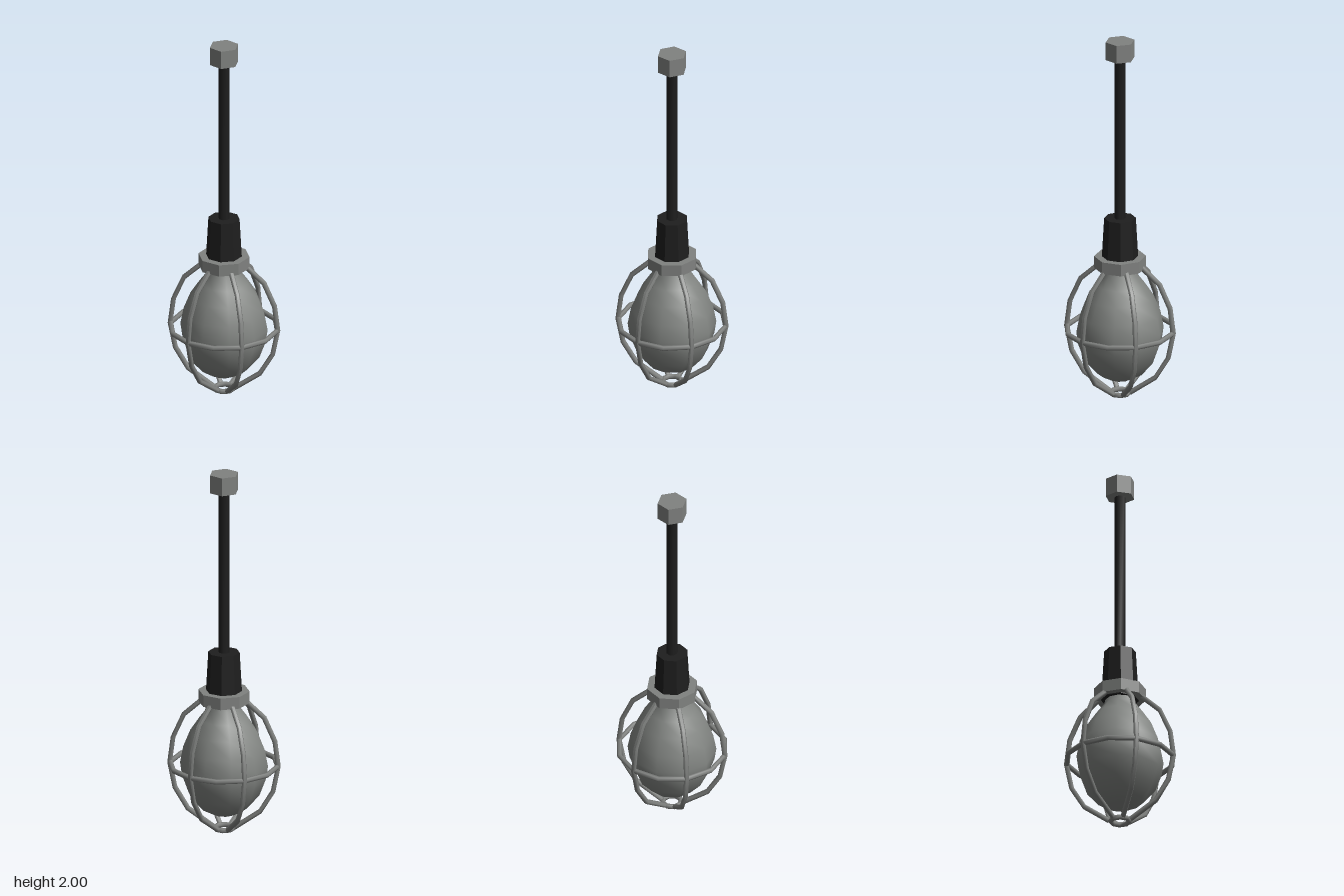
import * as THREE from 'three';
import { toCreasedNormals } from 'three/addons/utils/BufferGeometryUtils.js';

const metal = new THREE.MeshStandardMaterial({ color: 0x808280 });
metal.name = 'grey metal';
const rubber = new THREE.MeshStandardMaterial({ color: 0x1e1e1e });
rubber.name = 'black rubber';
const glass = new THREE.MeshStandardMaterial({ color: 0x828582 });
glass.name = 'grey glass';

const WIRE = 0.014;

// Upright prism or cone between two heights
function prism(rTop, rBottom, y0, y1, sides, flat = true) {
  const g = new THREE.CylinderGeometry(rTop, rBottom, y1 - y0, sides).translate(0, (y0 + y1) / 2, 0);
  return toCreasedNormals(g, flat ? 0.3 : 1.2);
}

// Wire bent through [radius, height] points, listed from top to bottom
function bentWire(points) {
  const n = points.length;
  const g = new THREE.CylinderGeometry(WIRE, WIRE, 1, 6, n - 1, true);
  const pos = g.attributes.position;
  const v = new THREE.Vector3();
  for (let i = 0; i < pos.count; i++) {
    v.fromBufferAttribute(pos, i);
    const row = Math.round((0.5 - v.y) * (n - 1));
    const a = points[Math.max(row - 1, 0)];
    const b = points[Math.min(row + 1, n - 1)];
    const len = Math.hypot(a[0] - b[0], a[1] - b[1]);
    const nx = (a[1] - b[1]) / len;
    const ny = -(a[0] - b[0]) / len;
    pos.setXYZ(i, points[row][0] + nx * v.x, points[row][1] + ny * v.x, v.z);
  }
  return toCreasedNormals(g, 1.2);
}

export function createModel() {
  const model = new THREE.Group();
  model.name = 'hangingCageLamp';
  const add = (name, geometry, material, parent = model) => {
    const mesh = new THREE.Mesh(geometry, material);
    mesh.name = name;
    parent.add(mesh);
    return mesh;
  };

  // Ceiling mount, cord, socket and collar
  add('ceilingMount', prism(0.079, 0.079, 1.9, 2, 6), metal);
  add('cord', prism(0.03, 0.03, 0.99, 1.91, 8, false), rubber);
  add('socket', prism(0.084, 0.1, 0.715, 1, 8), rubber);
  add('collar', prism(0.137, 0.137, 0.72, 0.785, 8), metal);

  // Pear-shaped bulb
  const profile = [
    [0, 0.085], [0.06, 0.095], [0.125, 0.13], [0.19, 0.205], [0.225, 0.3], [0.235, 0.37],
    [0.218, 0.46], [0.18, 0.555], [0.13, 0.63], [0.085, 0.69], [0.07, 0.75],
  ].map(([r, y]) => new THREE.Vector2(r, y));
  add('bulb', new THREE.LatheGeometry(profile, 10, Math.PI / 2), glass);

  // Wire cage: six ribs, a waist ring and a small bottom ring
  const cage = new THREE.Group();
  cage.name = 'cage';
  model.add(cage);
  const ribGeometry = bentWire([
    [0.11, 0.735], [0.215, 0.64], [0.272, 0.51], [0.29, 0.37],
    [0.262, 0.23], [0.193, 0.115], [0.055, 0.018],
  ]);
  for (let i = 0; i < 6; i++) {
    add('cageRib', ribGeometry, metal, cage).rotation.y = (i * Math.PI) / 3;
  }
  const ring = (r, y, sides) =>
    new THREE.TorusGeometry(r, WIRE, 6, sides).rotateX(Math.PI / 2).translate(0, y, 0);
  add('waistRing', ring(0.287, 0.37, 12), metal, cage);
  add('bottomRing', ring(0.05, 0.014, 8), metal, cage);

  return model;
}
